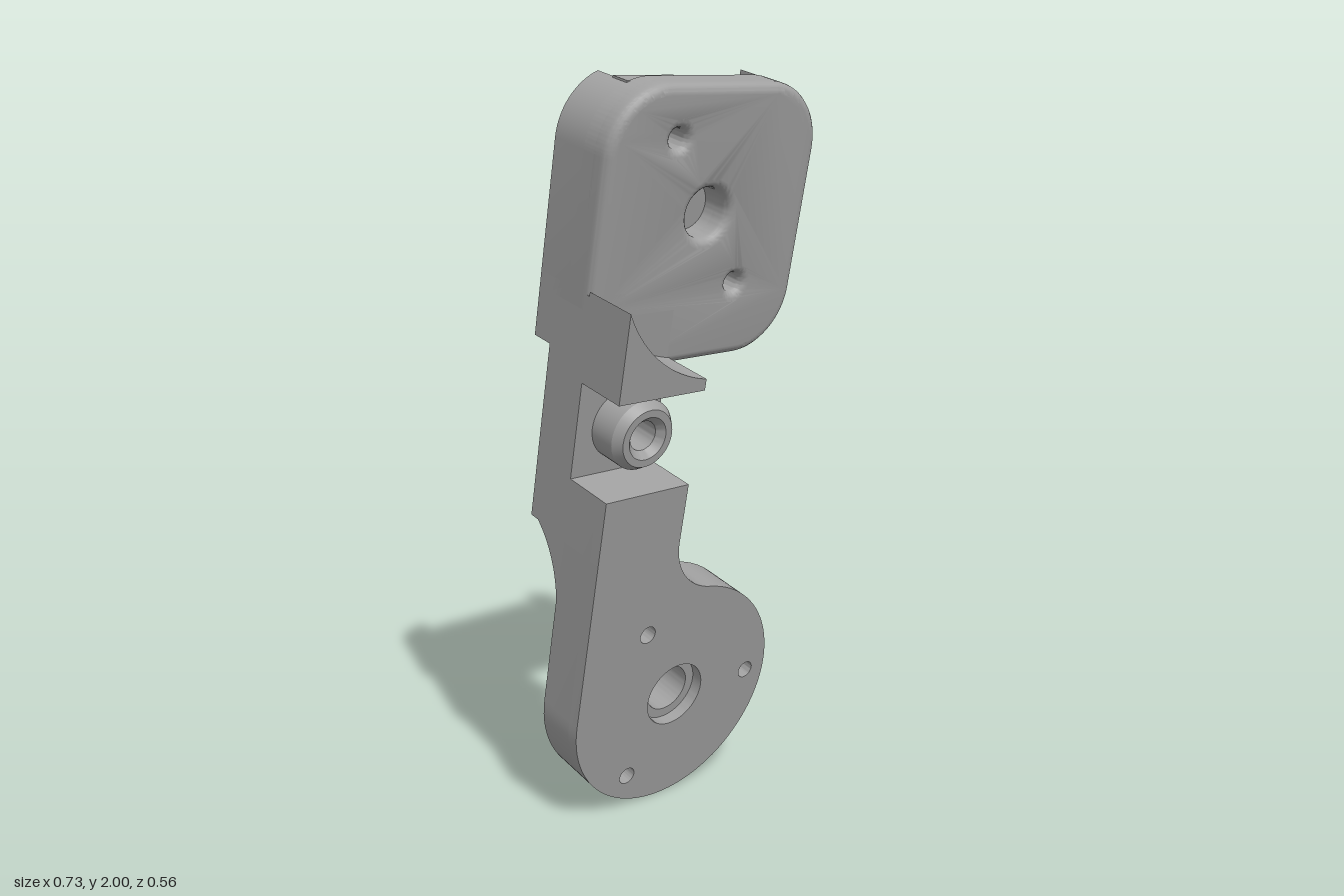
import * as THREE from 'three';
import { toCreasedNormals } from 'three/addons/utils/BufferGeometryUtils.js';

const grey = new THREE.MeshStandardMaterial({ color: 0xa0a0a0 });
grey.name = 'plain grey';

const LEFT = -0.335, NECK = -0.07;      // left side of the part, right side of the arm
const FRONT = -0.1, MID = -0.25;        // front plane, recessed front plane
const DISC = { x: 0, y: 0.316, r: 0.335 };
const BLOCK = { y0: 1.25, y1: 1.96, r: 0.17, cy: 1.64 };

function poly(points) {
  return new THREE.Shape(points.map(([x, y]) => new THREE.Vector2(x, y)));
}

function rect(x0, y0, x1, y1) {
  return poly([[x0, y0], [x1, y0], [x1, y1], [x0, y1]]);
}

function drill(shape, x, y, r) {
  const hole = new THREE.Path();
  hole.absarc(x, y, r, 0, Math.PI * 2, true);
  shape.holes.push(hole);
  return shape;
}

function mesh(name, geo) {
  const m = new THREE.Mesh(toCreasedNormals(geo, 0.55), grey);
  m.name = name;
  return m;
}

// Slab with a face outline, running from depth z0 (back) to z1 (front)
function slab(name, shape, z0, z1, bevel = 0) {
  const geo = new THREE.ExtrudeGeometry(shape, {
    depth: z1 - z0 - 2 * bevel, curveSegments: 32,
    bevelEnabled: bevel > 0, bevelSize: bevel, bevelOffset: -bevel,
    bevelThickness: bevel, bevelSegments: 5,
  });
  geo.translate(0, 0, z0 + bevel);
  return mesh(name, geo);
}

// Side profile (depth, height) swept across from x0 to x1
function sweep(name, shape, x0, x1) {
  const geo = new THREE.ExtrudeGeometry(shape, { depth: x1 - x0, curveSegments: 20, bevelEnabled: false });
  geo.rotateY(-Math.PI / 2);
  geo.translate(x1, 0, 0);
  return mesh(name, geo);
}

// Disc with a neck rising along its left side, joined by a fillet
function lowerOutline(boreRadius) {
  const f = 0.17, fx = NECK + f;
  const fy = DISC.y + Math.sqrt((DISC.r + f) ** 2 - fx ** 2);
  const a = Math.atan2(fy - DISC.y, fx);
  const s = new THREE.Shape();
  s.moveTo(LEFT, 0.98);
  s.lineTo(LEFT, DISC.y);
  s.absarc(DISC.x, DISC.y, DISC.r, Math.PI, 2 * Math.PI + a, false);
  s.absarc(fx, fy, f, a + Math.PI, Math.PI, true);
  s.lineTo(NECK, 0.98);
  drill(s, DISC.x, DISC.y, boreRadius);
  for (let i = 0; i < 3; i++) {
    const t = (i * 2 * Math.PI) / 3;
    drill(s, 0.265 * Math.cos(t), DISC.y + 0.265 * Math.sin(t), 0.025);
  }
  return s;
}

function blockOutline() {
  const { y0, y1, r } = BLOCK, c = -LEFT - r;
  const s = new THREE.Shape();
  s.absarc(c, y1 - r, r, 0, Math.PI / 2);
  s.absarc(-c, y1 - r, r, Math.PI / 2, Math.PI);
  s.absarc(-c, y0 + r, r, Math.PI, 1.5 * Math.PI);
  s.absarc(c, y0 + r, r, 1.5 * Math.PI, 2 * Math.PI);
  drill(s, 0, BLOCK.cy, 0.065);
  drill(s, -0.125, BLOCK.cy + 0.19, 0.025);
  drill(s, 0.125, BLOCK.cy - 0.19, 0.025);
  return s;
}

// Side rail following the rounded corners of the block; side is +1 or -1
function railOutline(side) {
  const { y0, y1, r } = BLOCK, c = -LEFT - r;
  const a = Math.acos((0.23 - c) / r), pts = [];
  for (let i = 0; i <= 14; i++) {
    const t = a * (1 - i / 14);
    pts.push([side * (c + r * Math.cos(t)), y1 - r + r * Math.sin(t)]);
  }
  for (let i = 0; i <= 14; i++) {
    const t = -a * (i / 14);
    pts.push([side * (c + r * Math.cos(t)), y0 + r + r * Math.sin(t)]);
  }
  return poly(pts);
}

export function createModel() {
  const body = new THREE.Group();
  body.name = 'bracket';

  // Lower disc and neck, with a wider counterbore at the front
  body.add(slab('lowerBody', lowerOutline(0.068), MID, -0.135));
  body.add(slab('lowerFront', lowerOutline(0.095), -0.135, FRONT));
  const pad = new THREE.Shape();
  pad.absarc(DISC.x, DISC.y, 0.278, 0, Math.PI * 2);
  body.add(slab('discPad', drill(pad, DISC.x, DISC.y, 0.068), -0.268, MID));

  // Arm: thin web with two rails on its back
  const web = drill(rect(LEFT, 0.8, NECK, 1.4), -0.19, 1.11, 0.04);
  body.add(slab('armWeb', web, -0.31, MID));
  const inner = new THREE.Shape();
  inner.moveTo(-0.245, 0.6);
  inner.bezierCurveTo(-0.27, 0.71, -0.385, 0.74, -0.385, 0.88);
  inner.lineTo(-0.385, 1.34);
  inner.lineTo(MID, 1.34);
  inner.lineTo(MID, 0.975);
  inner.lineTo(-0.245, 0.975);
  body.add(sweep('armInnerRail', inner, -0.145, NECK));
  const outer = new THREE.Shape();
  outer.moveTo(-0.245, 0.6);
  outer.quadraticCurveTo(-0.265, 0.74, -0.365, 0.81);
  outer.lineTo(-0.395, 0.81);
  outer.lineTo(-0.395, 1.3);
  outer.lineTo(MID, 1.3);
  outer.lineTo(MID, 0.975);
  outer.lineTo(-0.245, 0.975);
  body.add(sweep('armOuterRail', outer, LEFT, -0.235));
  body.add(slab('armCorner', rect(LEFT, 1.29, -0.23, 1.46), -0.46, MID));

  // Ring boss in the recess of the arm
  const ring = [[0.095, 0], [0.095, 0.08], [0.078, 0.105], [0.058, 0.105], [0.04, 0.085], [0.04, 0]];
  const boss = mesh('ringBoss', new THREE.LatheGeometry(ring.map(([r, h]) => new THREE.Vector2(r, h)), 40));
  boss.rotation.x = Math.PI / 2;
  boss.position.set(-0.19, 1.11, MID);
  body.add(boss);

  // Hook under the block, scooped by a circle
  const hook = new THREE.Shape();
  const R = 0.375, drop = (x) => -Math.sqrt(R * R - x * x);
  hook.moveTo(LEFT, 1.24);
  hook.lineTo(-0.065, 1.24);
  hook.absarc(0, BLOCK.cy, R, Math.atan2(drop(-0.065), -0.065), Math.atan2(drop(LEFT), LEFT), true);
  body.add(slab('hook', hook, -0.26, FRONT));

  // Upper block: softened front slab, back layer, side rails and raised floor
  body.add(slab('blockFront', blockOutline(), MID - 0.08, MID, 0.025));
  body.add(slab('blockBack', blockOutline(), -0.345, MID - 0.03));
  for (const side of [-1, 1]) {
    body.add(slab(side > 0 ? 'leftRail' : 'rightRail', railOutline(side), -0.46, -0.34));
  }
  body.add(slab('raisedFloor', rect(-0.235, 1.26, -0.05, 1.95), -0.395, -0.34));

  // Cover plate with four screw holes
  const plate = rect(-0.2, 1.36, 0.2, 1.92);
  for (const x of [-0.13, 0.13]) {
    for (const y of [-0.195, 0.195]) drill(plate, x, BLOCK.cy + y, 0.033);
  }
  body.add(slab('coverPlate', plate, -0.42, -0.34));

  // The whole part leans forward and turns slightly
  body.rotation.set(0.2126, 0.2363, 0, 'YXZ');
  const model = new THREE.Group();
  model.name = 'mountingArm';
  model.add(body);
  return model;
}
